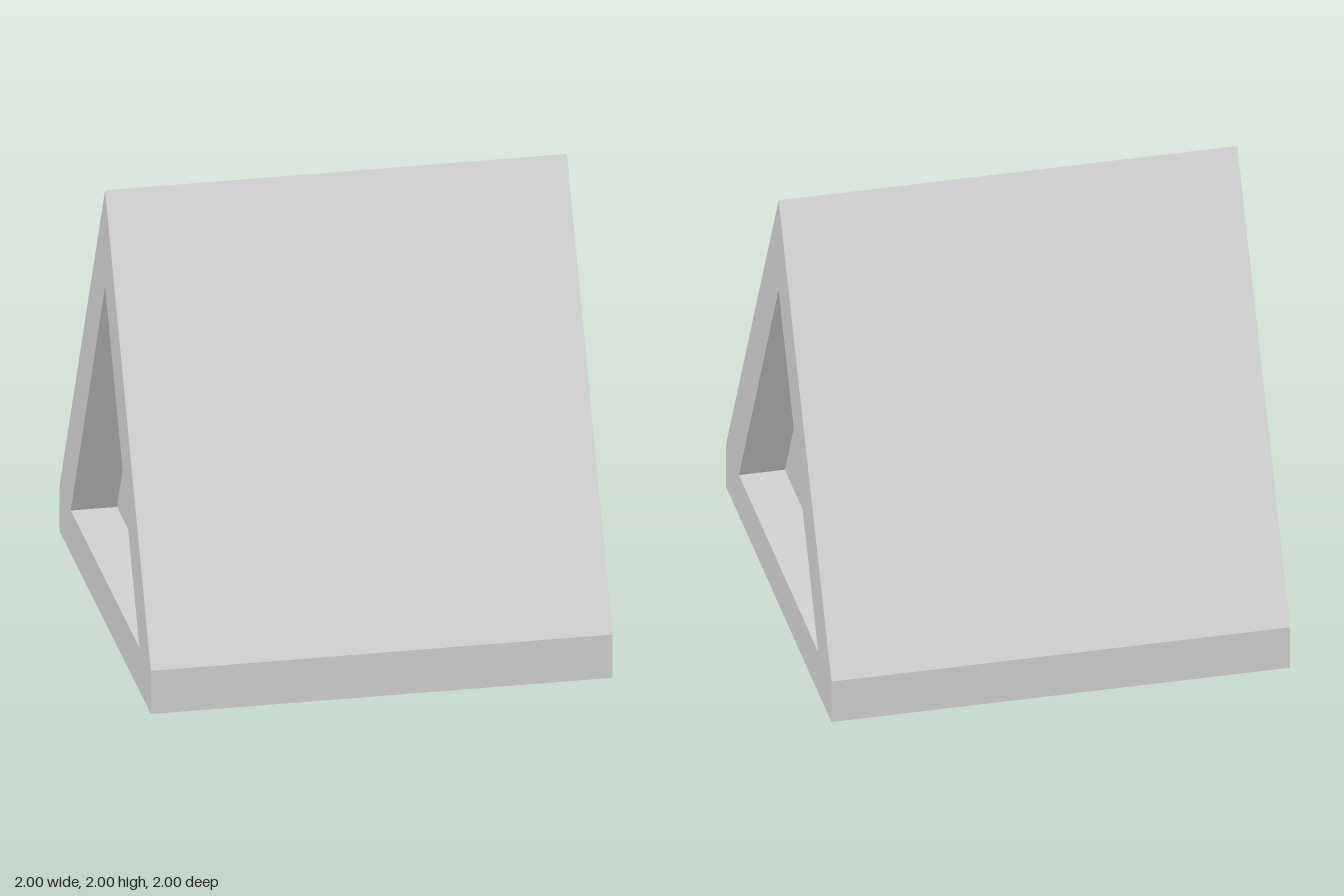
import * as THREE from 'three';

const LENGTH = 2, RECESS = 0.2;

const polygon = (points) => new THREE.Shape(points.map(([x, y]) => new THREE.Vector2(x, y)));

export function createModel() {
  const model = new THREE.Group();
  model.name = 'gabledPrism';
  const grey = new THREE.MeshStandardMaterial({ color: 0xd0d0d0 });
  grey.name = 'lightGrey';

  // Gable outline with a low vertical plinth, and the triangular opening
  const outline = polygon([[-1, 0], [1, 0], [1, 0.2], [0, 2], [-1, 0.2]]);
  const opening = [[-0.75, 0.2], [0.75, 0.2], [0, 1.555]];
  outline.holes.push(new THREE.Path(polygon(opening).getPoints()));

  // Roof shell running along x
  const shellGeometry = new THREE.ExtrudeGeometry(outline, { depth: LENGTH, bevelEnabled: false });
  shellGeometry.translate(0, 0, -LENGTH / 2).rotateY(Math.PI / 2);
  const shell = new THREE.Mesh(shellGeometry, grey);
  shell.name = 'roofShell';
  model.add(shell);

  // Recessed wall closing the opening at each end
  for (const side of [1, -1]) {
    const wall = new THREE.Mesh(new THREE.ShapeGeometry(polygon(opening)), grey);
    wall.name = side > 0 ? 'leftGableWall' : 'rightGableWall';
    wall.rotation.y = side * Math.PI / 2;
    wall.position.x = side * (LENGTH / 2 - RECESS);
    model.add(wall);
  }
  return model;
}
